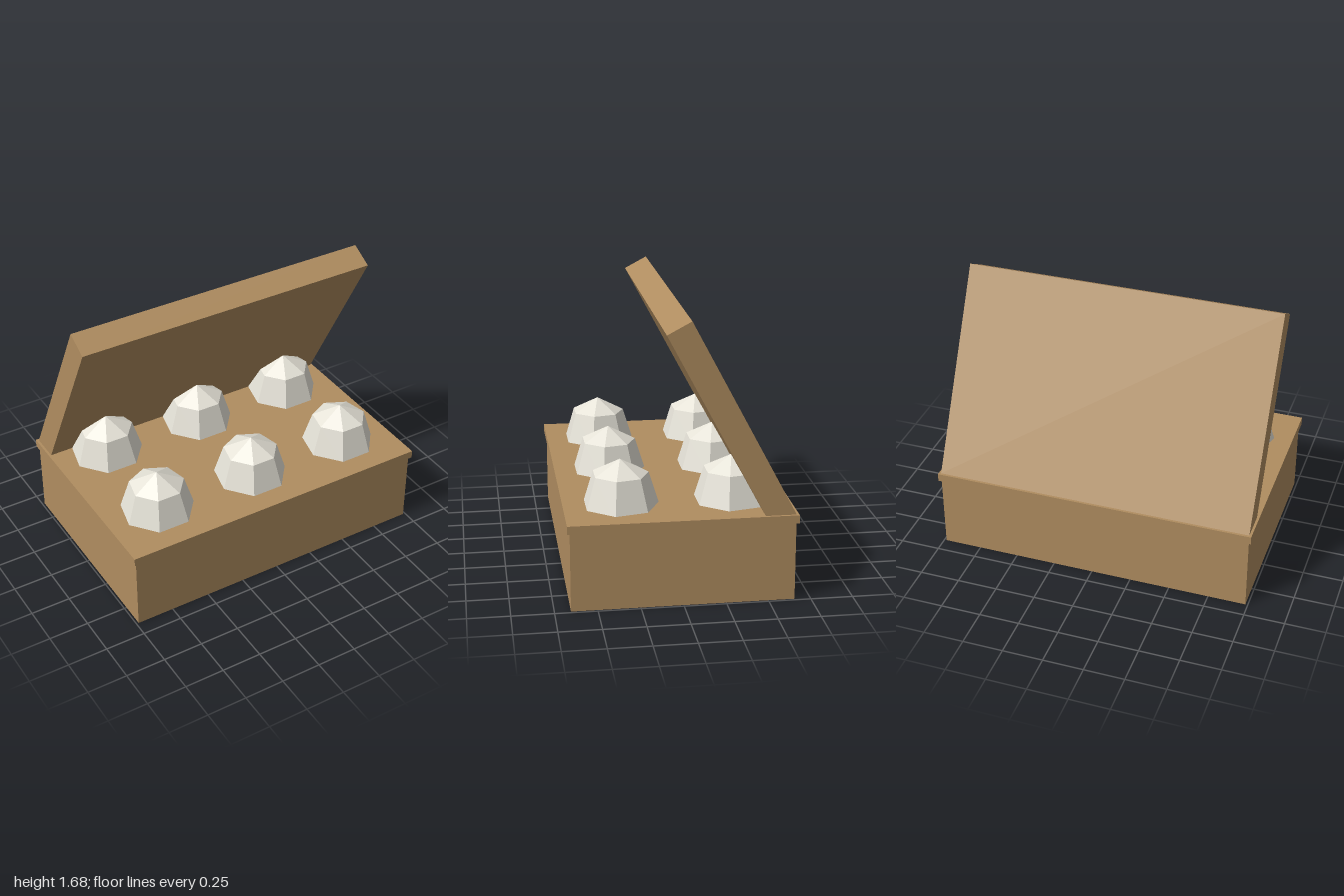
import * as THREE from 'three';

export function createModel() {
  const model = new THREE.Group();
  model.name = 'eggBox';

  const wood = new THREE.MeshStandardMaterial({ color: 0xb08d60, flatShading: true });
  wood.name = 'wood';
  const shell = new THREE.MeshStandardMaterial({ color: 0xe6e3d8, flatShading: true });
  shell.name = 'eggshell';

  const add = (name, geometry, material, x, y, z, parent = model) => {
    const mesh = new THREE.Mesh(geometry, material);
    mesh.name = name;
    mesh.position.set(x, y, z);
    parent.add(mesh);
    return mesh;
  };

  // Closed case with a slightly wider tray on top
  add('case', new THREE.BoxGeometry(1.97, 0.475, 1.31), wood, 0, 0.2375, 0);
  add('tray', new THREE.BoxGeometry(2, 0.05, 1.34), wood, 0, 0.5, 0);

  // Open lid, leaning forward from its hinge along the back edge
  const hinge = new THREE.Group();
  hinge.name = 'lidHinge';
  hinge.position.set(0, 0.525, -0.655);
  hinge.rotation.x = THREE.MathUtils.degToRad(28);
  model.add(hinge);
  add('lid', new THREE.BoxGeometry(1.97, 1.31, 0.16), wood, 0, 0.655, 0.08, hinge);

  // Seven-sided eggs set into the tray, in two rows of three
  const profile = [[0.234, -0.02], [0.169, 0.19], [0, 0.277]].map(([r, y]) => new THREE.Vector2(r, y));
  const eggGeometry = new THREE.LatheGeometry(profile, 7, Math.PI);
  for (const z of [0.33, -0.33]) {
    for (const x of [-0.66, 0, 0.66]) add('egg', eggGeometry, shell, x, 0.525, z);
  }

  return model;
}
